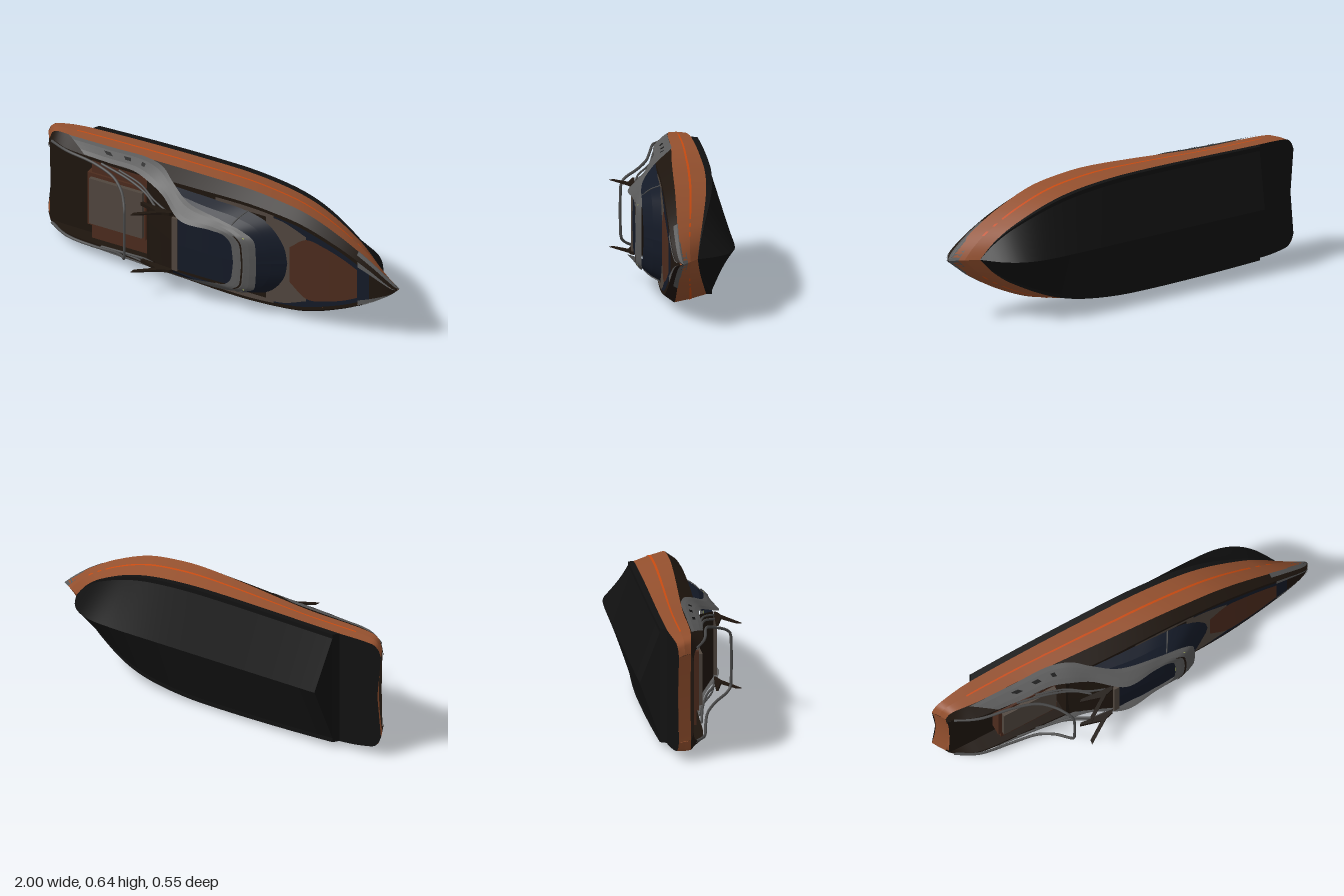
import * as THREE from 'three';

// Boat lying on its side: bow to +x, deck facing +z, beam along y about MID.
const MID = 0.32;
const C = {
  hull: 0x94502e, stripe: 0xc84a10, black: 0x111111, dark: 0x1e150e, glass: 0x141a27,
  grey: 0x585858, pad: 0x50463e, brown: 0x4c2b1d, tube: 0x4a4a4a, light: 0xc0cc66,
};
const mats = {};
const mat = (key) => (mats[key] ??= new THREE.MeshStandardMaterial({ color: C[key], side: THREE.DoubleSide }));

// Smooth function through [x, value] pairs
function table(...p) {
  const slope = (i) => {
    const a = p[Math.max(i - 1, 0)], b = p[Math.min(i + 1, p.length - 1)];
    return (b[1] - a[1]) / (b[0] - a[0]);
  };
  return (x) => {
    if (x <= p[0][0]) return p[0][1];
    if (x >= p[p.length - 1][0]) return p[p.length - 1][1];
    let i = 0;
    while (x > p[i + 1][0]) i++;
    const h = p[i + 1][0] - p[i][0], t = (x - p[i][0]) / h, t2 = t * t, t3 = t2 * t;
    return p[i][1] * (2 * t3 - 3 * t2 + 1) + p[i + 1][1] * (3 * t2 - 2 * t3)
      + h * (slope(i) * (t3 - 2 * t2 + t) + slope(i + 1) * (t3 - t2));
  };
}

// Edges are functions u -> [x, half width, z]
const on = (x0, x1, w, z) => (u) => {
  const x = x0 + (x1 - x0) * u;
  return [x, Math.max(0, w(x)), z(x)];
};
const path = (...pts) => {
  const c = new THREE.CatmullRomCurve3(pts.map((p) => new THREE.Vector3(...p)), false, 'centripetal');
  return (u) => c.getPoint(u).toArray();
};
// Edge between two edges, pushed outwards but closing on the end point
const mix = (a, b, v, out = 0) => (u) => {
  const p = a(u), q = b(u), push = out * Math.min(1, 20 * (1 - u));
  return [0, 1, 2].map((k) => p[k] + (q[k] - p[k]) * v + (k === 1 ? push : 0));
};
const part = (edge, u0, u1) => (u) => edge(u0 + (u1 - u0) * u);
const zero = () => 0;

export function createModel() {
  const root = new THREE.Group();

  function add(name, geometry, key) {
    const mesh = new THREE.Mesh(geometry, mat(key));
    mesh.name = name;
    root.add(mesh);
    return mesh;
  }

  // Ruled surface between successive edges, mirrored to both sides
  function strip(name, key, n, ...edges) {
    for (const side of [1, -1]) {
      const pos = [], idx = [];
      for (let e = 0; e + 1 < edges.length; e++) {
        const base = pos.length / 3;
        for (let i = 0; i <= n; i++) {
          for (const edge of [edges[e], edges[e + 1]]) {
            const [x, w, z] = edge(i / n);
            pos.push(x, MID + side * w, z);
          }
          if (i < n) {
            const a = base + 2 * i;
            const q = [a, a + 2, a + 1, a + 1, a + 2, a + 3];
            idx.push(...(side > 0 ? q : q.reverse()));
          }
        }
      }
      const g = new THREE.BufferGeometry();
      g.setAttribute('position', new THREE.Float32BufferAttribute(pos, 3));
      g.setIndex(idx);
      g.computeVertexNormals();
      add(name, g, key);
    }
  }
  function box(name, key, x0, x1, w0, w1, z0, z1) {
    const m = add(name, new THREE.BoxGeometry(x1 - x0, w1 - w0, z1 - z0), key);
    m.position.set((x0 + x1) / 2, MID + (w0 + w1) / 2, (z0 + z1) / 2);
  }
  function tube(name, r, pts) {
    const c = new THREE.CatmullRomCurve3(pts.map(([x, w, z]) => new THREE.Vector3(x, MID + w, z)));
    add(name, new THREE.TubeGeometry(c, 64, r, 8), 'tube');
  }
  const flip = ([x, w, z]) => [x, -w, z];

  // Hull lines, with rounded stern corners
  const sheerW = table([-.96, .22], [-.945, .262], [-.91, .284], [-.8, .289], [-.5, .293], [-.1, .312], [.15, .32], [.3, .312], [.5, .28], [.7, .2], [.85, .115], [.95, .043], [1, 0]);
  const sheerZ = table([-.96, -.06], [-.8, -.042], [-.5, -.036], [0, -.005], [.3, .01], [.6, .018], [.84, .023], [.95, .017], [1, .006]);
  const chineW = table([-1, .215], [-.985, .25], [-.95, .274], [-.77, .288], [0, .3], [.3, .28], [.5, .235], [.7, .145], [.8, .075], [.87, 0]);
  const chineZ = table([-1, -.125], [-.77, -.152], [0, -.157], [.3, -.15], [.5, -.135], [.7, -.105], [.8, -.085], [.87, -.07]);
  const drop = table([-.77, .03], [.4, .028], [.87, 0]);
  const keelZ = table([-.71, -.275], [.3, -.275], [.5, -.274], [.65, -.262], [.75, -.222], [.82, -.155], [.87, -.07]);
  const gunZ = table([-.96, -.05], [-.83, .015], [-.6, .035], [-.3, .052], [0, .062], [.5, .066], [.75, .063], [.9, .057], [.97, .048], [.99, .035], [1, .012]);
  const gunW = (x) => sheerW(x) * .87;
  const lipW = (x) => sheerW(x) * .82;
  const lowZ = (x) => chineZ(x) - drop(x);

  // Underwater body with chine flats and a sloped transom
  const keel = on(-.71, .87, zero, keelZ);
  const innerChine = on(-.75, .87, (x) => chineW(x) * .925, lowZ);
  const lowChine = on(-.752, .87, chineW, lowZ);
  const topChine = on(-.77, .87, chineW, chineZ);
  strip('hullBottom', 'black', 60, keel, innerChine, lowChine, topChine);
  const across = (p) => (u) => [p[0], p[1] * u, p[2]];
  strip('lowerTransom', 'black', 4, across(keel(0)), across(innerChine(0)), across(lowChine(0)), across(topChine(0)));
  strip('sternUnderside', 'black', 20, on(-1, -.76, chineW, chineZ), on(-.98, -.76, zero, chineZ));

  // Orange topsides with accent stripe, dashed towards the bow
  const chine = on(-1, .87, chineW, chineZ), sheer = on(-.96, 1, sheerW, sheerZ);
  strip('hullSide', 'hull', 120, chine, mix(chine, sheer, .5, .003), sheer);
  for (const [a, b] of [[.08, .885], [.9, .912], [.928, .942]]) {
    strip('sideStripe', 'stripe', 40, part(mix(chine, sheer, .47, .005), a, b), part(mix(chine, sheer, .54, .005), a, b));
  }
  const bowed = (p) => (u) => [p[0] + .02 * (1 - u * u), p[1] * u, p[2]];
  strip('transom', 'hull', 10, bowed(chine(0)), bowed(sheer(0)));

  // Bulwarks, bow cap, foredeck
  const gun = on(-.96, 1, gunW, gunZ);
  strip('bulwark', 'dark', 120, sheer, gun, on(-.96, 1, lipW, gunZ));
  const tip = (edge) => part(edge, .89, 1);
  strip('bowFairing', 'grey', 24, tip(mix(chine, sheer, .98, .003)), tip(mix(sheer, gun, .05, .003)), tip(mix(sheer, gun, .5, .003)));
  strip('stemCap', 'grey', 12, part(mix(chine, sheer, .7, .002), .975, 1), part(mix(chine, sheer, 1, .002), .94, 1));
  strip('foredeck', 'dark', 50, on(-.33, .995, lipW, gunZ), on(-.33, .995, zero, gunZ));
  const rail = (k, lift) => on(.8, .99, (x) => sheerW(x) * k, (x) => gunZ(x) + lift);
  strip('bowRail', 'grey', 16, rail(.86, .002), rail(.66, .004));

  // Cockpit well
  const floorZ = () => -.045;
  strip('cockpit', 'dark', 40, on(-.955, -.3, lipW, gunZ), on(-.95, -.3, lipW, floorZ), on(-.945, -.3, zero, floorZ));
  box('cockpitBulkhead', 'dark', -.36, -.32, -.235, .235, -.045, .06);
  box('sunPad', 'pad', -.69, -.4, -.13, .13, -.045, .035);
  box('sunPadBase', 'brown', -.71, -.39, -.15, .15, -.045, .015);
  for (const s of [-1, 1]) box('sideBench', 'brown', -.69, -.38, s * .19 - .04, s * .19 + .04, -.045, .005);

  // Foredeck inlays and side walkways
  const inlay = (name, key, x0, x1, w, lift, innerW = zero) => {
    const z = (x) => gunZ(x) + lift;
    strip(name, key, 24, on(x0, x1, w, z), on(x0, x1, innerW, z));
  };
  inlay('deckGlass', 'glass', .34, .86, table([.34, .25], [.5, .225], [.7, .155], [.86, .075]), .002);
  inlay('lounge', 'pad', .3, .52, table([.3, .245], [.4, .232], [.52, .185]), .004);
  inlay('foredeckPad', 'brown', .43, .8, table([.43, .1], [.52, .17], [.62, .155], [.72, .12], [.8, .08]), .006);
  inlay('walkway', 'pad', .02, .34, lipW, .002, () => .235);

  // Cabin: wraparound glass with convex sides, roof
  const base = path([-.33, .25, .045], [0, .245, .058], [.2, .237, .06], [.33, .19, .062], [.41, .09, .062], [.43, 0, .062]);
  const waist = path([-.29, .236, .075], [-.02, .224, .112], [.15, .212, .112], [.27, .175, .11], [.335, .085, .11], [.35, 0, .11]);
  const brow = path([-.25, .205, .095], [-.05, .182, .16], [.1, .178, .16], [.2, .155, .155], [.265, .07, .152], [.275, 0, .152]);
  strip('cabinGlass', 'glass', 40, base, waist, brow);
  strip('roofGlass', 'glass', 24, on(-.13, .2, () => .145, table([-.13, .172], [.1, .172], [.2, .165])),
    on(-.13, .2, zero, table([-.13, .176], [.1, .176], [.2, .167])));
  strip('helmCover', 'dark', 12, on(-.35, -.13, table([-.35, .22], [-.25, .195], [-.13, .165]), table([-.35, .055], [-.22, .12], [-.13, .168])),
    on(-.35, -.13, zero, table([-.35, .06], [-.22, .13], [-.13, .172])));
  box('roofBeam', 'pad', -.16, -.13, -.15, .15, .166, .18);
  box('lightBar', 'light', .185, .235, -.15, .15, .169, .176);
  for (const s of [-1, 1]) tube('windowPillar', .003, [[.2, s * .237, .06], [.17, s * .212, .112], [.14, s * .168, .158]]);

  // Sweeping frame from the quarters up to the roof visor
  const outer = path([-.84, .292, -.04], [-.6, .296, -.036], [-.4, .302, -.03], [-.3, .297, .002], [-.22, .268, .056], [-.1, .22, .118], [.1, .198, .15], [.22, .17, .155], [.28, .14, .16], [.293, .07, .163], [.295, 0, .163]);
  const inner = path([-.72, .258, .032], [-.58, .26, .045], [-.44, .262, .052], [-.34, .245, .08], [-.25, .215, .11], [-.1, .16, .2], [.06, .15, .188], [.13, .14, .185], [.165, .105, .184], [.175, .05, .184], [.18, 0, .184]);
  const crown = (v, lift) => (u) => {
    const [x, w, z] = mix(outer, inner, v, .003)(u);
    return [x, w, z + lift * THREE.MathUtils.smoothstep(u, .6, .75)];
  };
  strip('roofFrame', 'grey', 80, outer, crown(.25, .009), crown(.48, .013), crown(.75, .007), inner);
  strip('visorGroove', 'dark', 24, part(crown(.52, .0145), .72, 1), part(crown(.6, .0125), .72, 1));
  for (const u of [.08, .14, .2]) {
    strip('sideVent', 'black', 2, part(mix(outer, inner, .4, .006), u, u + .02), part(mix(outer, inner, .6, .006), u + .01, u + .03));
  }

  // Stern arch and struts
  const arch = [[-.93, .235, -.03], [-.82, .245, .025], [-.65, .24, .055], [-.53, .215, .085], [-.46, .187, .135], [-.42, .163, .185], [-.403, .14, .21], [-.4, .1, .215]];
  tube('sternArch', .007, [...arch, ...arch.map(flip).reverse()]);
  for (const s of [-1, 1]) {
    tube('archStrut', .006, [[-.62, s * .24, .04], [-.45, s * .215, .07], [-.34, s * .19, .105], [-.27, s * .17, .15]]);
    tube('handRail', .005, [[-.52, s * .235, .045], [-.38, s * .22, .085], [-.28, s * .195, .14], [-.2, s * .165, .16]]);
  }

  // Tapered blade fins on the roof
  const blade = new THREE.Shape([[-.335, .275], [-.33, .25], [-.24, .19], [-.34, .162], [-.33, .152], [-.16, .165], [-.17, .18], [-.21, .19]]
    .map((p) => new THREE.Vector2(...p)));
  for (const s of [-1, 1]) {
    const g = new THREE.ExtrudeGeometry(blade, { depth: 1, bevelEnabled: false }).translate(0, 0, -.5).rotateX(Math.PI / 2);
    const p = g.attributes.position;
    for (let i = 0; i < p.count; i++) {
      p.setY(i, MID + s * .165 + p.getY(i) * (.003 + (.275 - p.getZ(i)) * .14));
    }
    g.computeVertexNormals();
    add('roofFin', g, 'dark');
  }
  return root;
}
